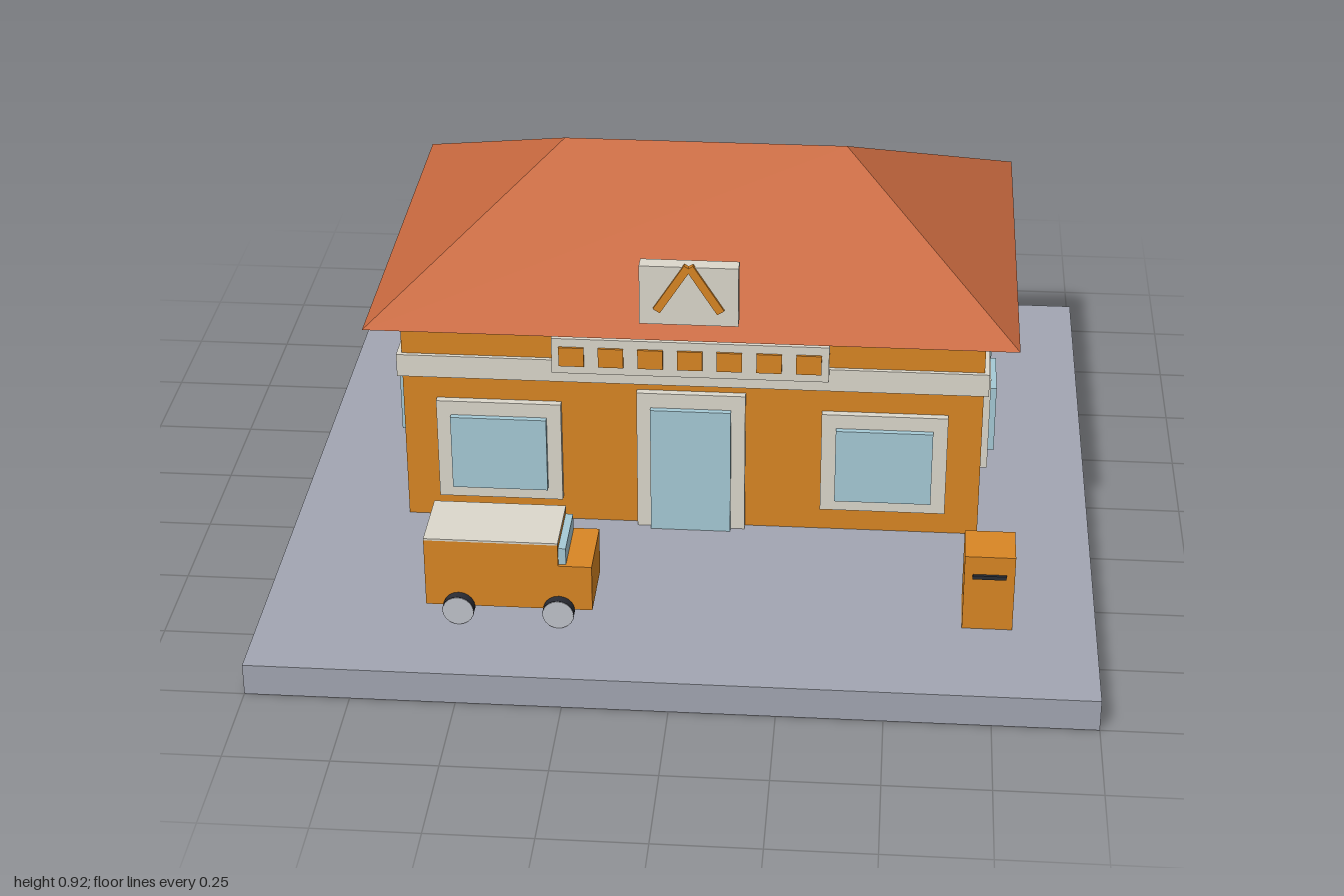
import * as THREE from 'three';

const mat = (color) => new THREE.MeshStandardMaterial({ color });
const M = {
  ground: mat(0xa2a6b2), wall: mat(0xd98624), roof: mat(0xc8693f), cream: mat(0xdcd8cc),
  glass: mat(0xa6cad6), dark: mat(0x2a2c34), hub: mat(0xc0c3ca),
};

// Box given by its extents on each axis
function box(parent, name, material, [x0, x1], [y0, y1], [z0, z1]) {
  const mesh = new THREE.Mesh(new THREE.BoxGeometry(x1 - x0, y1 - y0, z1 - z0), material);
  mesh.position.set((x0 + x1) / 2, (y0 + y1) / 2, (z0 + z1) / 2);
  mesh.name = name;
  parent.add(mesh);
  return mesh;
}

function group(parent, name) {
  const g = new THREE.Group();
  g.name = name;
  parent.add(g);
  return g;
}

// Hipped roof: rectangular eave rising to a ridge along x
function hipRoof(halfX, halfZ, ridgeHalf, height) {
  const a = [-halfX, 0, halfZ], b = [halfX, 0, halfZ], c = [halfX, 0, -halfZ], d = [-halfX, 0, -halfZ];
  const l = [-ridgeHalf, height, 0], r = [ridgeHalf, height, 0];
  const faces = [a, b, r, a, r, l, c, d, l, c, l, r, b, c, r, d, a, l, a, d, c, a, c, b];
  const geo = new THREE.BufferGeometry();
  geo.setAttribute('position', new THREE.Float32BufferAttribute(faces.flat(), 3));
  geo.computeVertexNormals();
  return geo;
}

function addBuilding(root) {
  const b = group(root, 'building');
  box(b, 'walls', M.wall, [-0.72, 0.72], [0.08, 0.64], [-0.677, 0.283]);
  box(b, 'wallBand', M.cream, [-0.732, 0.732], [0.48, 0.54], [-0.688, 0.294]);

  const roof = new THREE.Mesh(hipRoof(0.8, 0.56, 0.36, 0.28), M.roof);
  roof.position.set(0, 0.64, -0.2);
  roof.name = 'roof';
  b.add(roof);

  // Door
  const door = group(b, 'door');
  box(door, 'doorFrame', M.cream, [-0.135, 0.135], [0.08, 0.46], [0.275, 0.302]);
  box(door, 'doorGlass', M.glass, [-0.1, 0.1], [0.08, 0.42], [0.28, 0.317]);

  for (const s of [-1, 1]) {
    // Front windows
    const w = group(b, 'frontWindow');
    box(w, 'windowFrame', M.cream, [s * 0.48 - 0.156, s * 0.48 + 0.156], [0.146, 0.418], [0.275, 0.302]);
    box(w, 'windowGlass', M.glass, [s * 0.48 - 0.12, s * 0.48 + 0.12], [0.18, 0.38], [0.28, 0.317]);

    // Side windows
    for (const z of [0.043, -0.435]) {
      const v = group(b, 'sideWindow');
      const f = box(v, 'windowFrame', M.cream, [-0.015, 0.015], [0.2, 0.452], [z - 0.113, z + 0.113]);
      const g = box(v, 'windowGlass', M.glass, [-0.02, 0.02], [0.235, 0.412], [z - 0.082, z + 0.082]);
      f.position.x = s * 0.726;
      g.position.x = s * 0.737;
    }
  }

  // Sign board with a row of blocks
  const sign = group(b, 'signBoard');
  box(sign, 'signPanel', M.cream, [-0.34, 0.34], [0.525, 0.62], [0.292, 0.332]);
  for (let i = -3; i <= 3; i++) {
    const x = i * 0.097;
    box(sign, 'signBlock', M.wall, [x - 0.031, x + 0.031], [0.547, 0.598], [0.325, 0.338]);
  }

  // Roof plaque with a chevron of two bars
  const plaque = group(b, 'roofPlaque');
  box(plaque, 'plaquePanel', M.cream, [-0.12, 0.12], [0.685, 0.84], [0.322, 0.362]);
  for (const s of [-1, 1]) {
    const bar = box(plaque, 'chevronBar', M.wall, [-0.01, 0.01], [-0.07, 0.07], [0.356, 0.37]);
    bar.position.x = s * 0.04;
    bar.position.y = 0.783;
    bar.rotation.z = s * 0.57;
  }
}

function addVan(root) {
  const van = group(root, 'van');
  const z = [0.59, 0.766];
  box(van, 'vanBody', M.wall, [-0.6, -0.28], [0.12, 0.297], z);
  box(van, 'vanHood', M.wall, [-0.28, -0.2], [0.12, 0.24], z);
  box(van, 'vanRoof', M.cream, [-0.6, -0.28], [0.297, 0.302], z);
  box(van, 'windshield', M.glass, [-0.285, -0.262], [0.24, 0.284], [0.598, 0.758]);

  // Wheels with a pale disc on the outer side
  const tyre = new THREE.CylinderGeometry(0.038, 0.038, 0.036, 20).rotateX(Math.PI / 2);
  const disc = new THREE.CylinderGeometry(0.037, 0.037, 0.004, 20).rotateX(Math.PI / 2);
  for (const x of [-0.52, -0.28]) {
    for (const s of [-1, 1]) {
      const wheel = group(van, 'wheel');
      wheel.position.set(x, 0.118, 0.678 + s * 0.092);
      const t = new THREE.Mesh(tyre, M.dark);
      t.name = 'tyre';
      const h = new THREE.Mesh(disc, M.hub);
      h.name = 'hubDisc';
      h.position.z = s * 0.018;
      wheel.add(t, h);
    }
  }
}

function addPostbox(root) {
  const p = group(root, 'postbox');
  box(p, 'postboxBody', M.wall, [0.68, 0.8], [0.08, 0.28], [0.597, 0.716]);
  box(p, 'letterSlot', M.dark, [0.7, 0.78], [0.222, 0.232], [0.71, 0.723]);
}

export function createModel() {
  const root = new THREE.Group();
  root.name = 'postOffice';
  box(root, 'groundSlab', M.ground, [-1, 1], [0, 0.08], [-1, 1]);
  addBuilding(root);
  addVan(root);
  addPostbox(root);
  return root;
}
